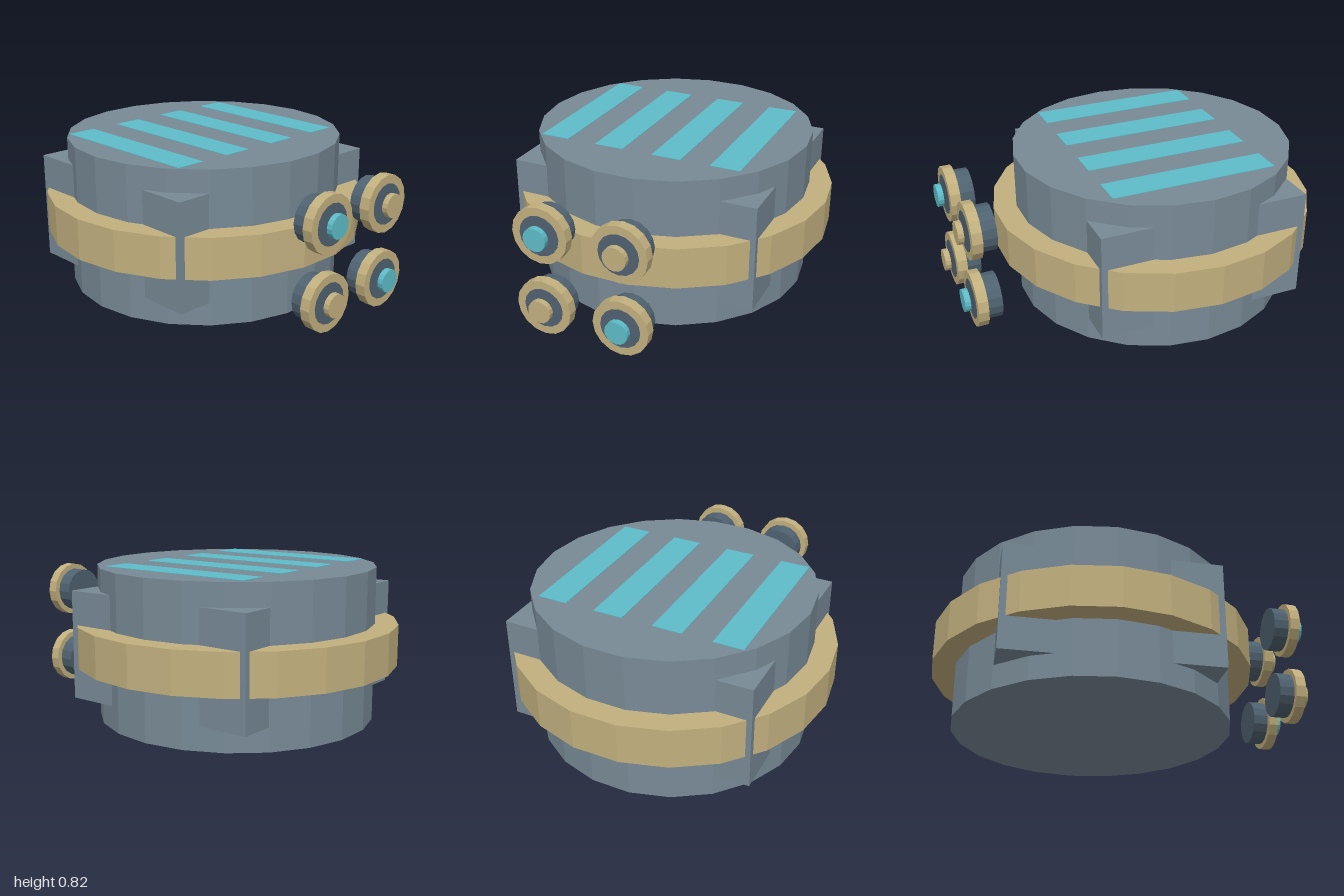
import * as THREE from 'three';

const material = (name, color) => {
  const m = new THREE.MeshStandardMaterial({ color, flatShading: true });
  m.name = name;
  return m;
};

export function createModel() {
  const steel = material('steel', 0x788a96);
  const darkSteel = material('dark steel', 0x4f6270);
  const brass = material('brass', 0xc2b07e);
  const cyan = material('cyan', 0x5dbcc8);

  const model = new THREE.Group();
  model.name = 'drumDevice';
  const centreZ = -0.14;

  function add(parent, name, geometry, mat, x, y, z) {
    const mesh = new THREE.Mesh(geometry, mat);
    mesh.name = name;
    mesh.position.set(x, y, z);
    parent.add(mesh);
    return mesh;
  }

  // Upright faceted drum and the band around it
  const drum = (r, h) => new THREE.CylinderGeometry(r, r, h, 22, 1, false, Math.PI / 2);
  add(model, 'body', drum(0.745, 0.82), steel, 0, 0.41, centreZ);
  add(model, 'band', drum(0.868, 0.22), brass, 0, 0.41, centreZ);

  // Four corner posts
  for (const sx of [-1, 1]) {
    for (const sz of [-1, 1]) {
      add(model, 'cornerPost', new THREE.BoxGeometry(0.3, 0.575, 0.4), steel,
        sx * 0.53, 0.4125, centreZ + sz * 0.36);
    }
  }

  // Inlaid stripes on the lid
  for (const x of [-0.5, -0.18, 0.145, 0.465]) {
    add(model, 'lidStripe', new THREE.BoxGeometry(0.16, 0.004, 0.89), cyan, x, 0.821, centreZ);
  }

  // Forward-facing knobs: base, collar, face and floating centre
  const disc = (r, depth) => new THREE.CylinderGeometry(r, r, depth, 16).rotateX(Math.PI / 2);
  for (const sx of [-1, 1]) {
    for (const sy of [-1, 1]) {
      const knob = new THREE.Group();
      knob.name = 'knob';
      knob.position.set(sx * 0.21, 0.412 + sy * 0.2, 0);
      add(knob, 'knobBase', disc(0.12, 0.08), darkSteel, 0, 0, 0.86);
      add(knob, 'knobCollar', disc(0.149, 0.054), brass, 0, 0, 0.927);
      add(knob, 'knobFace', disc(0.106, 0.004), darkSteel, 0, 0, 0.954);
      add(knob, 'knobCentre', disc(0.061, 0.03), sx === sy ? brass : cyan, 0, 0, 0.985);
      model.add(knob);
    }
  }

  return model;
}
